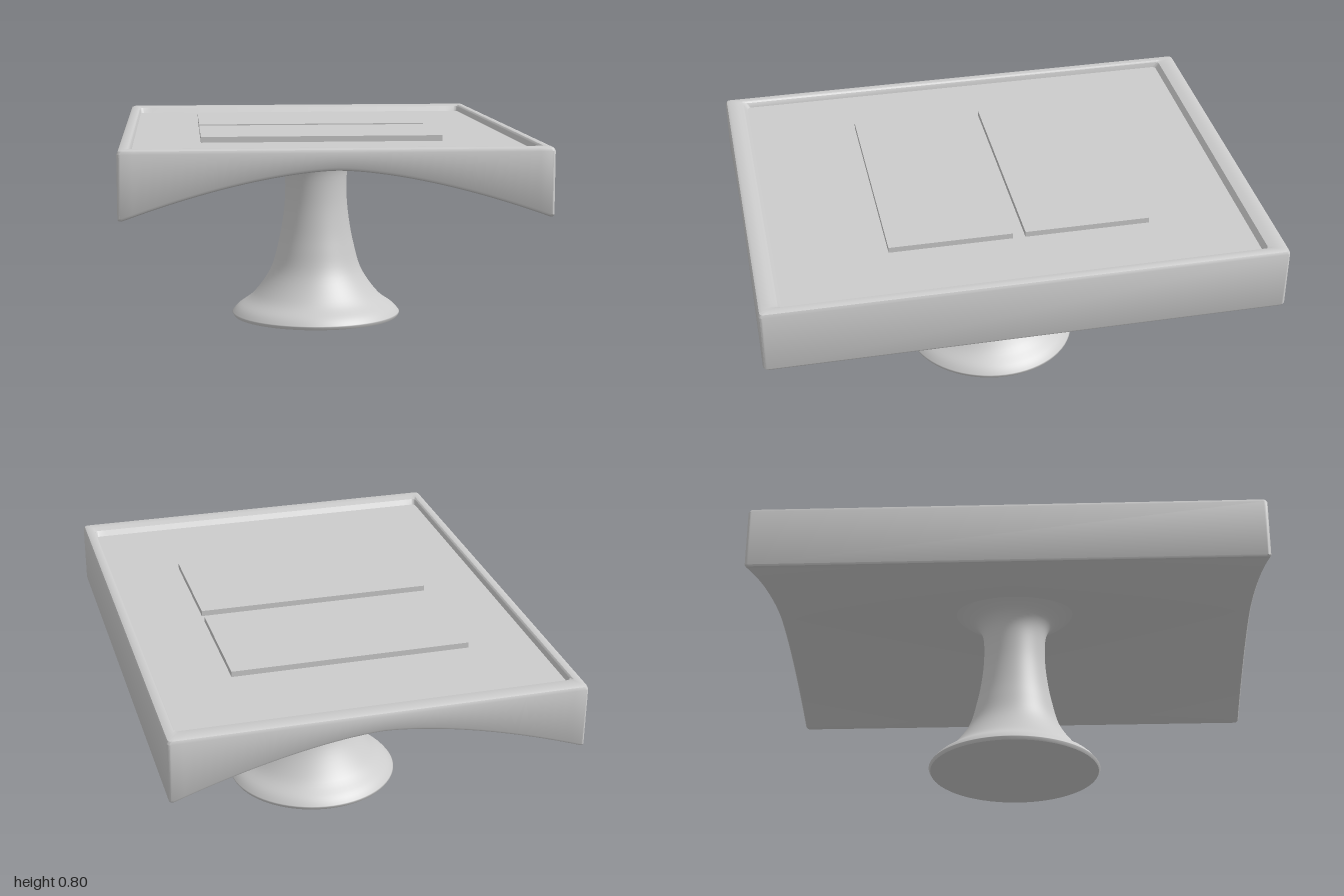
import * as THREE from 'three';
import { toCreasedNormals } from 'three/addons/utils/BufferGeometryUtils.js';

const HALF_X = 0.785, HALF_Z = 1, FLOOR = 0.772;
const material = new THREE.MeshStandardMaterial({ color: 0xcccccc, side: THREE.DoubleSide });

// Height of the arched underside
const arch = (x) => 0.72 - 0.18 * Math.pow(Math.min(1, Math.abs(x) / HALF_X), 1.6);

// Rounded rectangle, counter-clockwise from above, finely divided along x
function outline(hx, hz, r = 0.015) {
  const pts = [];
  const corner = (sx, sz, start) => {
    for (let k = 0; k <= 4; k++) {
      const a = start + (k / 4) * Math.PI / 2;
      pts.push([sx * (hx - r) + r * Math.cos(a), sz * (hz - r) - r * Math.sin(a)]);
    }
  };
  const edge = (from, z) => {
    for (let k = 1; k < 40; k++) pts.push([from * (hx - r) * (1 - k / 20), z]);
  };
  corner(1, -1, 0);
  edge(1, -hz);
  corner(-1, -1, Math.PI / 2);
  corner(-1, 1, Math.PI);
  edge(-1, hz);
  corner(1, 1, Math.PI * 1.5);
  return pts;
}

// Skin through a list of rings with equal point counts
function loft(rings) {
  const n = rings[0].length, index = [];
  for (let i = 0; i < rings.length - 1; i++) {
    for (let j = 0; j < n; j++) {
      const k = (j + 1) % n;
      const a = i * n + j, b = i * n + k, c = b + n, d = a + n;
      index.push(a, b, c, a, c, d);
    }
  }
  const g = new THREE.BufferGeometry();
  g.setAttribute('position', new THREE.Float32BufferAttribute(rings.flat(2), 3));
  g.setIndex(index);
  return toCreasedNormals(g, 0.6);
}

function tableTopGeometry() {
  // insetX, insetZ, height (a function of x, or a constant)
  const ring = (ix, iz, y, flatten = 1) => outline(HALF_X - ix, HALF_Z - iz)
    .map(([x, z]) => [x, typeof y === 'function' ? y(x) : y, z * flatten]);
  return loft([
    ring(0.012, 0.012, arch, 0), // underside centre line
    ring(0.012, 0.012, arch),
    ring(0.004, 0.004, (x) => arch(x) + 0.004),
    ring(0, 0, (x) => arch(x) + 0.012),
    ring(0, 0, 0.784),
    ring(0.005, 0.005, 0.795),
    ring(0.016, 0.016, 0.8),
    ring(0.036, 0.05, 0.799), // rim rolling down into the tray
    ring(0.042, 0.075, 0.793),
    ring(0.046, 0.09, FLOOR),
    ring(0.046, 0.09, FLOOR, 0), // tray floor
  ]);
}

function pedestalGeometry() {
  const curve = new THREE.SplineCurve([
    [0.35, 0.012], [0.325, 0.04], [0.26, 0.09], [0.19, 0.19], [0.157, 0.3],
    [0.138, 0.4], [0.128, 0.5], [0.13, 0.6], [0.15, 0.655], [0.19, 0.69], [0.25, 0.722],
  ].map(([x, y]) => new THREE.Vector2(x, y)));
  return new THREE.LatheGeometry([new THREE.Vector2(0.343, 0), ...curve.getPoints(48)], 72);
}

export function createModel() {
  const group = new THREE.Group();
  const add = (name, geometry) => {
    const mesh = new THREE.Mesh(geometry, material);
    mesh.name = name;
    group.add(mesh);
    return mesh;
  };

  add('tableTop', tableTopGeometry());
  add('pedestal', pedestalGeometry());
  add('pedestalBase', new THREE.CircleGeometry(0.343, 72).rotateX(Math.PI / 2));

  // Two thin panels lying in the tray
  [['backPanel', -0.54, -0.05], ['frontPanel', 0, 0.48]].forEach(([name, z0, z1]) => {
    const panel = add(name, new THREE.BoxGeometry(0.935, 0.024, z1 - z0));
    panel.position.set(-0.0135, FLOOR + 0.01, (z0 + z1) / 2);
  });
  return group;
}
